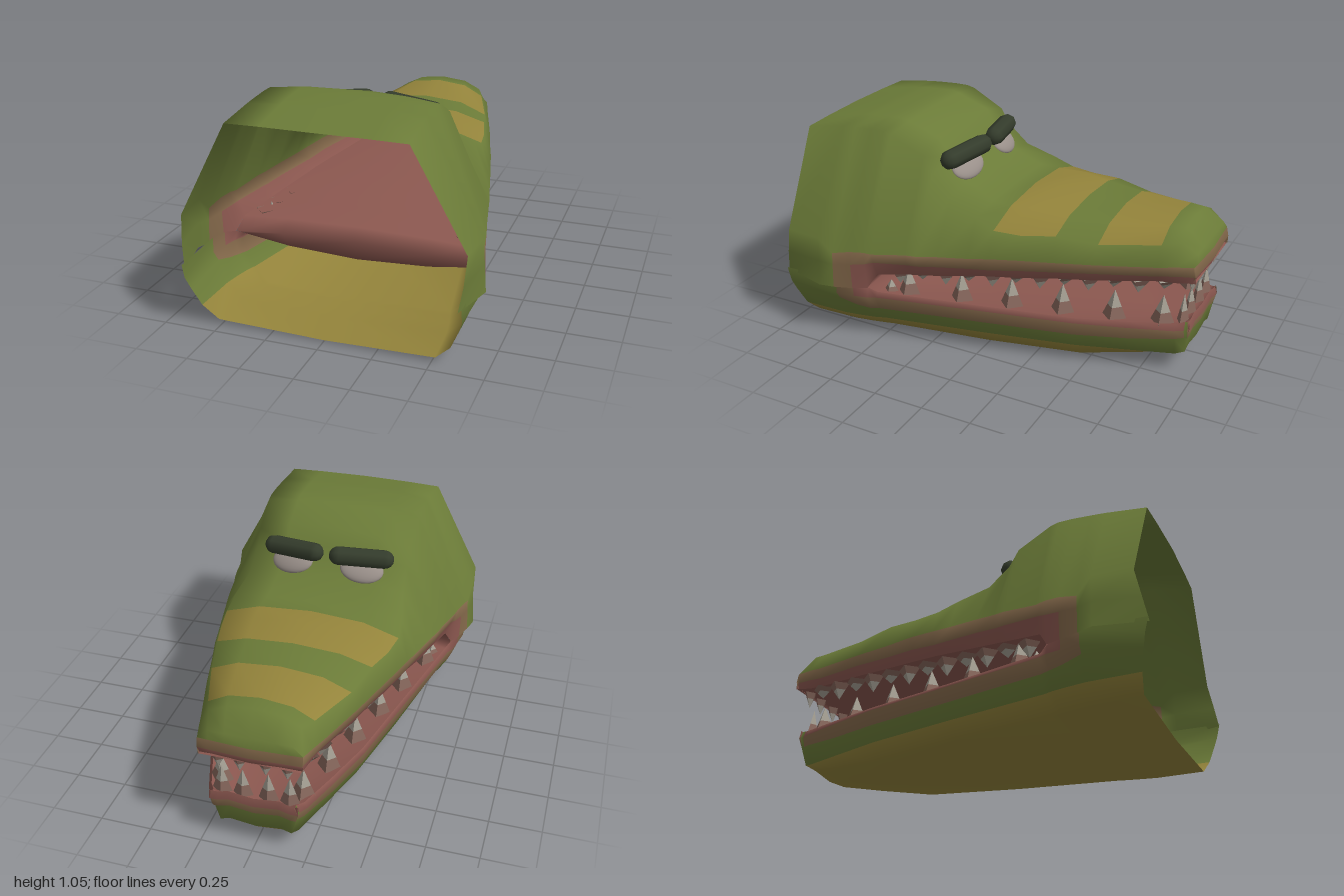
import * as THREE from 'three';

const mat = (name, color) => {
  const m = new THREE.MeshStandardMaterial({ color, side: THREE.DoubleSide });
  m.name = name;
  return m;
};

// Skins a list of half cross-sections (centre to +x edge), mirrored across x = 0.
// pick(i, j) gives the material slot of the patch after station i, row j from the centre.
function loft(name, halves, mats, pick, flip = false) {
  const rows = halves[0].length, n = rows * 2 - 1, pos = [];
  for (const half of halves) {
    for (let k = 0; k < n; k++) {
      const p = half[Math.abs(k - rows + 1)];
      pos.push(k < rows - 1 ? -p[0] : p[0], p[1], p[2]);
    }
  }
  const lists = mats.map(() => []);
  for (let i = 0; i < halves.length - 1; i++) {
    for (let k = 0; k < n - 1; k++) {
      const j = k < rows - 1 ? rows - 2 - k : k - rows + 1;
      const a = i * n + k, b = a + 1, c = a + n, d = c + 1;
      lists[pick(i, j)].push(...(flip ? [a, c, b, b, c, d] : [a, b, c, b, d, c]));
    }
  }
  const g = new THREE.BufferGeometry();
  g.setAttribute('position', new THREE.Float32BufferAttribute(pos, 3));
  g.setIndex(lists.flat());
  let start = 0;
  lists.forEach((l, m) => {
    if (l.length) g.addGroup(start, l.length, m);
    start += l.length;
  });
  g.computeVertexNormals();
  const mesh = new THREE.Mesh(g, mats);
  mesh.name = name;
  return mesh;
}

export function createModel() {
  const root = new THREE.Group();
  root.name = 'reptileHead';
  const green = mat('skinGreen', 0x6b7b38), yellow = mat('bellyYellow', 0x94843b);
  const brown = mat('lipBrown', 0x83684a), pink = mat('mouthPink', 0x8c5850);
  const ivory = mat('toothIvory', 0xa39e92), gum = mat('toothBase', 0x84655a);
  const grey = mat('eyeGrey', 0x9a908a), dark = mat('browDark', 0x343c2c);
  const skin = [green, yellow, brown, pink];
  const [GREEN, YELLOW, BROWN, PINK] = [0, 1, 2, 3];

  // Upper head: z, topY, shoulderX, shoulderY, sideX, greenEndY, brownEndY, lipY, lipX
  const upper = [
    [0.97, 0.99, 0.41, 0.985, 0.655, 0.53, 0.40, 0.29, 0.63],
    [0.77, 1.03, 0.40, 1.015, 0.67, 0.53, 0.41, 0.285, 0.69],
    [0.70, 1.04, 0.40, 1.02, 0.66, 0.46, 0.40, 0.28, 0.67],
    [0.61, 1.045, 0.40, 1.025, 0.645, 0.48, 0.41, 0.28, 0.64],
    [0.54, 1.05, 0.40, 1.025, 0.63, 0.485, 0.42, 0.285, 0.61],
    [0.50, 1.04, 0.40, 1.015, 0.62, 0.48, 0.43, 0.355, 0.58],
    [0.33, 0.99, 0.39, 0.93, 0.585, 0.50, 0.44, 0.375, 0.54],
    [0.28, 0.90, 0.39, 0.85, 0.575, 0.50, 0.44, 0.38, 0.53],
    [0.18, 0.795, 0.40, 0.755, 0.55, 0.51, 0.45, 0.39, 0.51],
    [0.03, 0.72, 0.43, 0.695, 0.515, 0.52, 0.46, 0.41, 0.47],
    [-0.07, 0.73, 0.44, 0.655, 0.49, 0.53, 0.465, 0.42, 0.45],
    [-0.20, 0.745, 0.42, 0.65, 0.46, 0.54, 0.48, 0.43, 0.42],
    [-0.36, 0.725, 0.38, 0.665, 0.415, 0.545, 0.49, 0.445, 0.375],
    [-0.55, 0.72, 0.335, 0.645, 0.365, 0.555, 0.505, 0.46, 0.33],
    [-0.82, 0.735, 0.245, 0.665, 0.285, 0.57, 0.52, 0.485, 0.25],
    [-0.90, 0.735, 0.21, 0.68, 0.262, 0.58, 0.53, 0.49, 0.24],
  ];
  // Snout tip: the same section pressed down to the lip line
  for (const [z, top] of [[-0.975, 0.63], [-0.99, 0.585], [-1, 0.54], [-0.985, 0.505]])
    upper.push([z, top, 0.19, 0.66, 0.24, 0.585, 0.535, 0.503, 0.235]);
  // The neck rim is slightly scooped and the snout tip comes to a blunt point
  const rim = [0.01, 0.005, 0, -0.015, 0.01, 0.03];
  const upperHalves = upper.map(([z, t, sx, sy, w, gy, by, ly, lx], i) => [
    [0, t], [sx * 0.6, t - (t - sy) * 0.25], [sx, sy], [w, gy], [(w * 2 + lx) / 3, by], [lx, ly],
  ].map(([x, y], j) => [x, Math.min(y, t), z + (i === 0 ? rim[j] : i > 16 ? x * 0.05 : 0)]));
  root.add(loft('upperHead', upperHalves, skin, (i, j) => {
    if (i === 17) return BROWN;
    if (i === 18) return PINK;
    if (i < 2) return GREEN;
    if (j === 4) return i === 2 ? BROWN : PINK;
    if (j === 3) return BROWN;
    const stripe = i === 10 || i === 11 || i === 13;
    return stripe && j < 2 ? YELLOW : GREEN;
  }));

  // Lower jaw: z, bottomY, cornerX, sideX, rimY, greenEndY
  const lower = [
    [0.92, 0.005, 0.515, 0.645, 0.305, 0.18],
    [0.70, 0, 0.50, 0.65, 0.31, 0.2],
    [0.61, 0, 0.485, 0.635, 0.305, 0.175],
    [0.54, 0, 0.47, 0.62, 0.285, 0.165],
    [0.50, 0, 0.46, 0.60, 0.26, 0.165],
    [0, 0, 0.38, 0.485, 0.255, 0.165],
    [-0.45, 0, 0.28, 0.385, 0.255, 0.165],
    [-0.70, 0.03, 0.20, 0.305, 0.26, 0.17],
    [-0.90, 0.06, 0.14, 0.235, 0.265, 0.185],
  ];
  for (const [z, y] of [[-0.94, 0.1], [-0.955, 0.19], [-0.965, 0.235], [-0.955, 0.275]])
    lower.push([z, y, 0.12, 0.21, 0.275, 0.19]);
  const lowerHalves = lower.map(([z, y0, bx, w, rimY, gy], i) => [
    [0, y0], [bx, y0 + 0.015], [bx + 0.55 * (w - bx), 0.09], [bx + 0.85 * (w - bx), gy],
    [w, 0.235], [i > 2 ? w - 0.015 : w, rimY],
  ].map(([x, y], j) => {
    const py = j ? Math.max(y, y0) : y0;
    return [x, py, z + (i === 0 ? py * 0.26 : 0)];
  }));
  root.add(loft('lowerJaw', lowerHalves, skin, (i, j) => {
    if (i > 8) return [GREEN, BROWN, PINK][i - 9];
    if (j < 2) return YELLOW;
    if (j === 2 || i < 1) return GREEN;
    return j === 3 || i === 1 ? BROWN : PINK;
  }, true));

  // Mouth lining: palate front to back, rear fold, then floor back to front
  const lining = (z, w, edge, mid) => [[0, mid, z], [w * 0.6, mid + (edge - mid) * 0.35, z], [w, edge, z]];
  const palate = upper.filter((s) => s[0] <= 0.5 && s[0] > -0.98).reverse()
    .map((s) => lining(s[0], s[8], s[7], s[7] + 0.02));
  const floor = lower.slice(4, 10).map((s) => lining(s[0], s[3] - 0.015, s[4], s[4] - 0.05));
  const tipLine = lining(-0.985, 0.235, 0.503, 0.503), chinLine = lining(-0.955, 0.195, 0.275, 0.275);
  root.add(loft('mouthLining',
    [tipLine, ...palate, lining(0.54, 0.608, 0.286, 0.315), ...floor, chinLine], [pink], () => 0));

  // Teeth: four-sided spikes with a darker base
  const tooth = (name, x, y, z, r, h, up, width = 0.95) => {
    const g = new THREE.Group();
    g.name = name;
    const base = new THREE.CylinderGeometry(r * 0.6, r, h * 0.4, 4, 1, true).toNonIndexed();
    const tip = new THREE.ConeGeometry(r * 0.6, h * 0.6, 4, 1, true).toNonIndexed();
    base.translate(0, h * 0.2, 0).computeVertexNormals();
    tip.translate(0, h * 0.7, 0).computeVertexNormals();
    g.add(new THREE.Mesh(base, gum), new THREE.Mesh(tip, ivory));
    g.children[0].name = 'toothBase';
    g.children[1].name = 'toothTip';
    g.position.set(x, y, z);
    g.scale.x = width;
    if (!up) g.rotation.x = Math.PI;
    root.add(g);
  };
  for (const s of [-1, 1]) {
    for (let i = 0; i < 12; i++) {
      const z = 0.42 - i * 0.114, t = (0.5 - z) / 1.47;
      tooth('upperTooth', s * (0.52 - 0.335 * t), 0.362 + 0.138 * t, z, 0.057, i % 2 ? 0.055 : 0.08, false);
    }
    for (const z of [0.46, 0.37, 0.11, -0.13, -0.37, -0.61, -0.83]) {
      const t = (0.5 - z) / 1.43;
      tooth('lowerTooth', s * (0.53 - 0.36 * t), 0.25, z, z > 0.4 ? 0.04 : 0.06, z > 0.4 ? 0.06 : 0.14, true);
    }
    for (const x of [0.06, 0.16]) {
      tooth('upperFrontTooth', s * x, 0.5, -0.95, 0.03, 0.08, false, 1.4);
      tooth('lowerFrontTooth', s * x, 0.262, -0.918, 0.03, 0.14, true, 1.6);
    }

    // Half-lidded eye, a shallow dome lying on the slope under a heavy brow
    const eye = new THREE.Mesh(new THREE.SphereGeometry(1, 16, 12, Math.PI, Math.PI), grey);
    eye.name = 'eye';
    eye.scale.set(0.11, 0.07, 0.03);
    eye.position.set(s * 0.18, 0.838, 0.212);
    eye.rotation.set(0.75, -s * 0.15, 0);
    const brow = new THREE.Mesh(new THREE.CapsuleGeometry(0.048, 0.23, 4, 8).rotateZ(Math.PI / 2), dark);
    brow.name = 'brow';
    brow.position.set(s * 0.175, 0.902, 0.219);
    brow.rotation.set(0, -s * 0.22, -s * 0.06);
    root.add(eye, brow);
  }
  return root;
}
